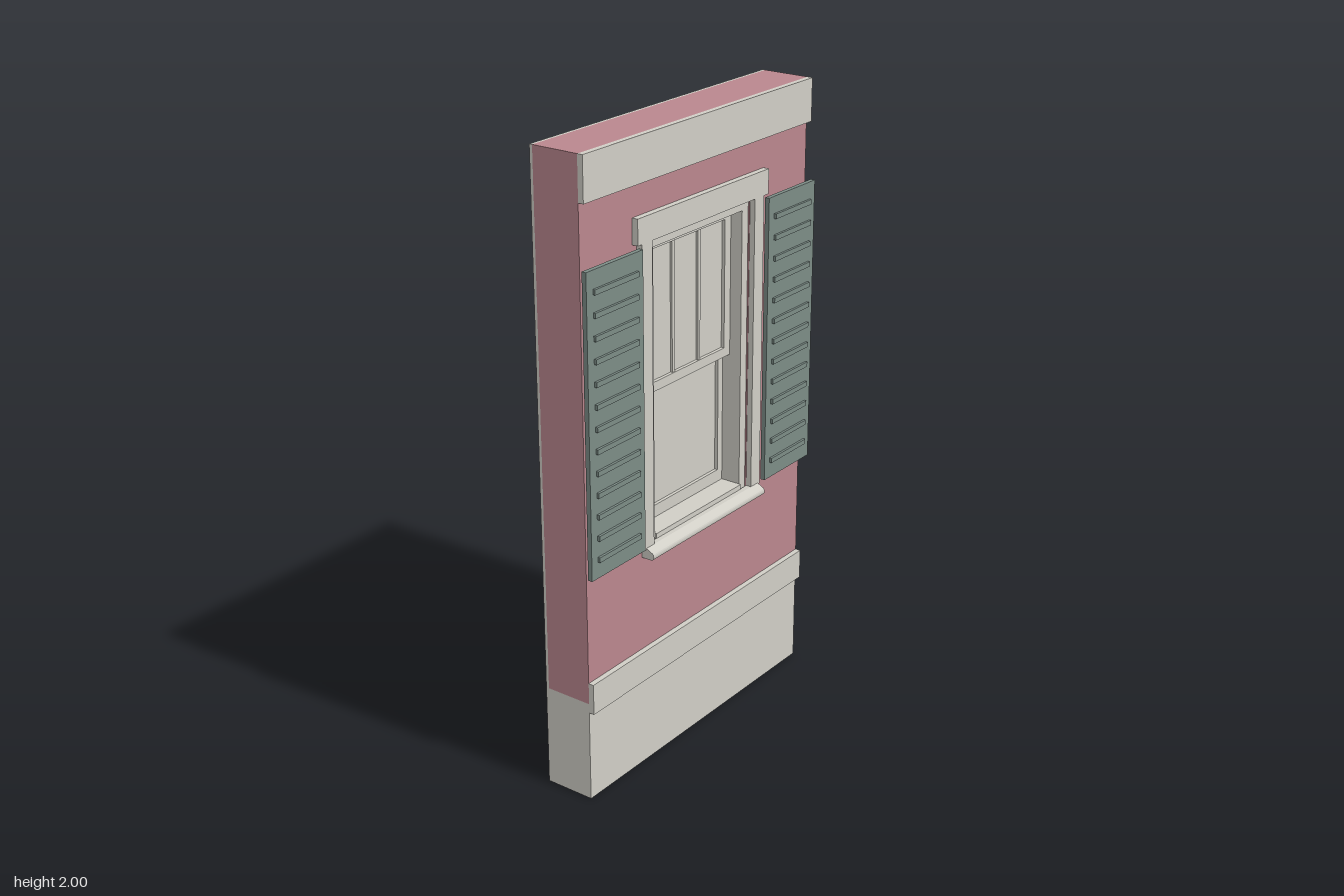
import * as THREE from 'three';

const mat = (name, color) => {
  const m = new THREE.MeshStandardMaterial({ color });
  m.name = name;
  return m;
};

export function createModel() {
  const root = new THREE.Group();
  root.name = 'windowWall';
  const trim = mat('warm grey trim', 0xd0cec6);
  const pink = mat('dusty pink siding', 0xba878e);
  const green = mat('grey green shutter', 0x7c8c86);

  const group = (name, parent = root) => {
    const g = new THREE.Group();
    g.name = name;
    parent.add(g);
    return g;
  };
  // Box given by its limits on each axis
  const box = (name, m, x0, x1, y0, y1, z0, z1, parent = root) => {
    const mesh = new THREE.Mesh(new THREE.BoxGeometry(x1 - x0, y1 - y0, z1 - z0), m);
    mesh.position.set((x0 + x1) / 2, (y0 + y1) / 2, (z0 + z1) / 2);
    mesh.name = name;
    parent.add(mesh);
    return mesh;
  };
  // The same box on both sides
  const pair = (name, m, x0, x1, ...rest) => {
    box(name + 'Left', m, x0, x1, ...rest);
    box(name + 'Right', m, -x1, -x0, ...rest);
  };
  // Upright slab with the window opening cut out
  const slab = (name, m, y0, z0, z1) => {
    const rect = (path, x, a, b) =>
      path.moveTo(-x, a).lineTo(x, a).lineTo(x, b).lineTo(-x, b).closePath();
    const shape = new THREE.Shape();
    rect(shape, 0.55, y0, 2);
    const hole = new THREE.Path();
    rect(hole, 0.25, 0.74, 1.69);
    shape.holes.push(hole);
    const mesh = new THREE.Mesh(
      new THREE.ExtrudeGeometry(shape, { depth: z1 - z0, bevelEnabled: false }), m);
    mesh.position.z = z0;
    mesh.name = name;
    root.add(mesh);
  };

  // Wall layers
  slab('siding', pink, 0.33, -0.095, 0.06);
  slab('innerPanel', trim, 0, -0.105, -0.095);
  box('foundation', trim, -0.55, 0.55, 0, 0.33, -0.095, 0.06);
  box('lowerBand', trim, -0.55, 0.55, 0.3, 0.4, 0.06, 0.078);
  box('upperBand', trim, -0.55, 0.55, 1.865, 2, 0.06, 0.078);

  // Casing around the opening
  pair('sideCasing', trim, 0.252, 0.3, 0.74, 1.69, 0.06, 0.078);
  box('headCasing', trim, -0.32, 0.32, 1.69, 1.768, 0.06, 0.08);

  // Sill with a rounded nose
  const profile = new THREE.Shape();
  profile.moveTo(0.06, 0.71).lineTo(0.095, 0.71);
  profile.quadraticCurveTo(0.105, 0.712, 0.105, 0.722);
  profile.quadraticCurveTo(0.105, 0.733, 0.097, 0.735);
  profile.lineTo(0.078, 0.745).lineTo(0.06, 0.745).closePath();
  const sillGeo = new THREE.ExtrudeGeometry(profile, { depth: 0.58, bevelEnabled: false, curveSegments: 4 });
  sillGeo.rotateY(-Math.PI / 2); // profile depth becomes z, length runs along -x
  const sill = new THREE.Mesh(sillGeo, trim);
  sill.position.x = 0.29;
  sill.name = 'sill';
  root.add(sill);

  // Frame lining the opening
  pair('jamb', trim, 0.219, 0.252, 0.74, 1.69, -0.04, 0.055);
  box('frameHead', trim, -0.219, 0.219, 1.657, 1.69, -0.04, 0.055);
  box('frameBottom', trim, -0.219, 0.219, 0.74, 0.761, -0.04, 0.062);

  // Sash: two stiles, two rails and a pane
  const sash = (name, y0, y1, z0, z1, stile, bottom, top) => {
    const g = group(name);
    const x = 0.219, zm = (z0 + z1) / 2;
    box('stileLeft', trim, x - stile, x, y0, y1, z0, z1, g);
    box('stileRight', trim, -x, stile - x, y0, y1, z0, z1, g);
    box('bottomRail', trim, stile - x, x - stile, y0, y0 + bottom, z0, z1, g);
    box('topRail', trim, stile - x, x - stile, y1 - top, y1, z0, z1, g);
    box('pane', trim, stile - x, x - stile, y0 + bottom, y1 - top, zm - 0.002, zm + 0.002, g);
    return g;
  };
  const upper = sash('upperSash', 1.19, 1.657, -0.012, 0.014, 0.03, 0.03, 0.027);
  for (const x of [-0.064, 0.064])
    box('muntin', trim, x - 0.006, x + 0.006, 1.22, 1.63, -0.008, 0.01, upper);
  sash('lowerSash', 0.761, 1.215, -0.038, -0.012, 0.024, 0.04, 0.03);

  // Louvred shutters
  for (const s of [-1, 1]) {
    const g = group(s > 0 ? 'shutterLeft' : 'shutterRight');
    box('board', green, -0.125, 0.125, 0.75, 1.68, 0.075, 0.09, g);
    for (let i = 0; i < 13; i++) {
      const y = 0.81 + i * 0.0673;
      box('slat', green, -0.097, 0.097, y - 0.008, y + 0.008, 0.09, 0.098, g);
    }
    g.position.x = s * 0.435;
  }
  return root;
}
